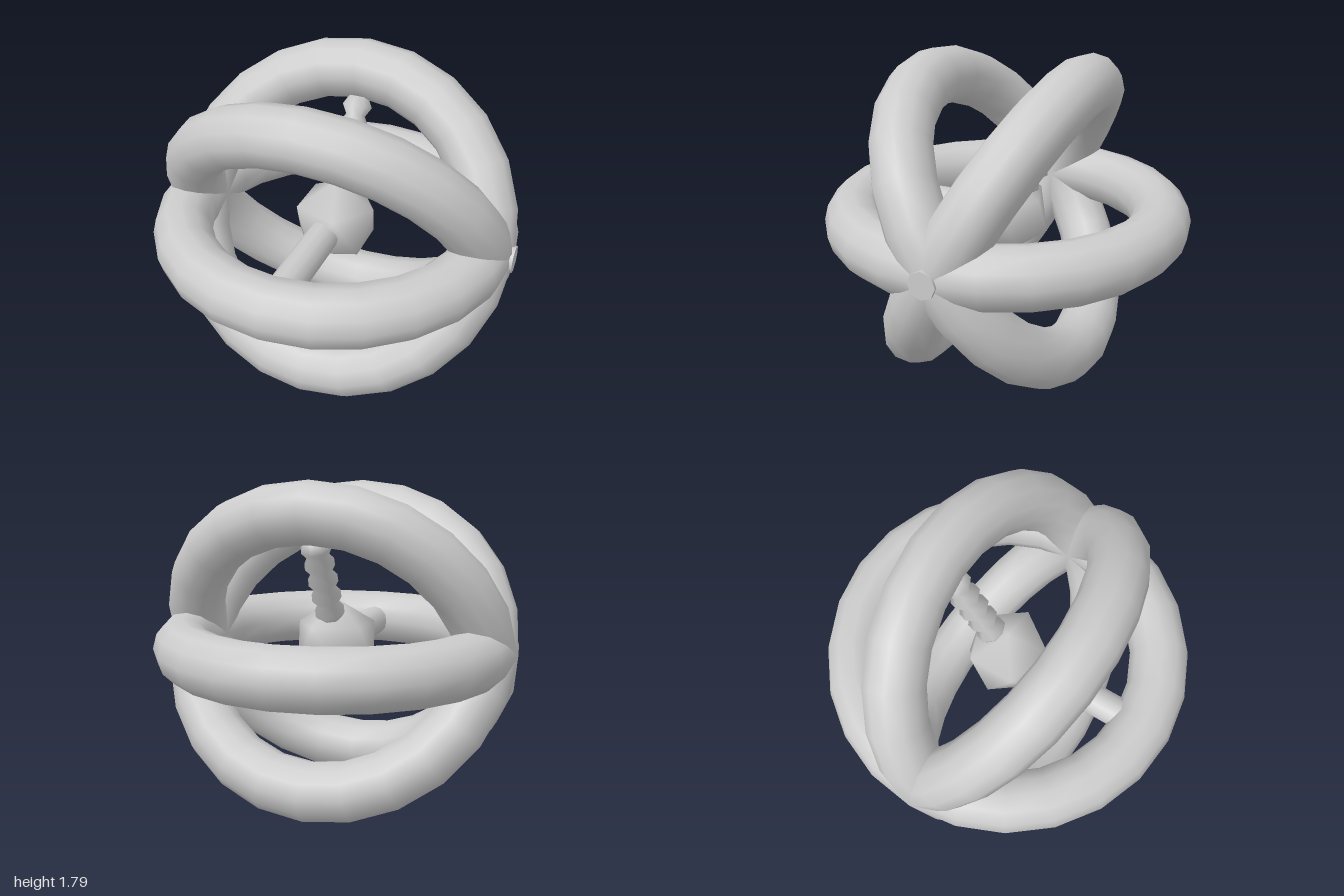
import * as THREE from 'three';
import { mergeVertices } from 'three/addons/utils/BufferGeometryUtils.js';

const CENTRE_Y = 0.897;
const RING_RADIUS = 0.836;
const TUBE_RADIUS = 0.16;
const deg = THREE.MathUtils.degToRad;

export function createModel() {
  const model = new THREE.Group();
  model.name = 'ringCage';
  const grey = new THREE.MeshStandardMaterial({ color: 0xcccccc });

  // All parts are placed around the common centre
  const add = (name, geometry) => {
    const mesh = new THREE.Mesh(geometry, grey);
    mesh.name = name;
    mesh.position.y = CENTRE_Y;
    model.add(mesh);
    return mesh;
  };

  // Three rings sharing the x axis, fanned about 60 degrees apart
  const ringGeometry = new THREE.TorusGeometry(RING_RADIUS, TUBE_RADIUS, 12, 24);
  const tilts = { levelRing: 90, backLeaningRing: -28.7, frontLeaningRing: 31.7 };
  for (const [name, tilt] of Object.entries(tilts)) {
    add(name, ringGeometry).rotation.x = deg(tilt);
  }

  // Faceted core with smooth normals, one corner straight up
  let core = new THREE.IcosahedronGeometry(0.245, 0);
  core.deleteAttribute('normal');
  core.deleteAttribute('uv');
  core = mergeVertices(core);
  core.rotateZ(-Math.atan(2 / (1 + Math.sqrt(5))));
  core.computeVertexNormals();
  add('core', core);

  // Straight rod from the core to the front of the level ring
  const rod = new THREE.CylinderGeometry(0.085, 0.085, 0.7, 12);
  rod.translate(0, 0.45, 0).rotateX(Math.PI / 2);
  add('rod', rod);

  // Ribbed column from the core to the top of the back-leaning ring
  const profile = [new THREE.Vector2(0, 0.17)];
  for (let i = 0; i <= 10; i++) {
    profile.push(new THREE.Vector2(i % 2 ? 0.085 : 0.055, 0.17 + i * 0.051));
  }
  profile.push(new THREE.Vector2(0, 0.68));
  add('ribbedColumn', new THREE.LatheGeometry(profile, 8)).rotation.x = deg(-28.7);

  // Small end peg where the rings cross on the left
  const peg = new THREE.CylinderGeometry(0.073, 0.073, 0.1, 8);
  peg.rotateZ(-Math.PI / 2).translate(0.948, 0, 0);
  add('endPeg', peg);

  return model;
}
